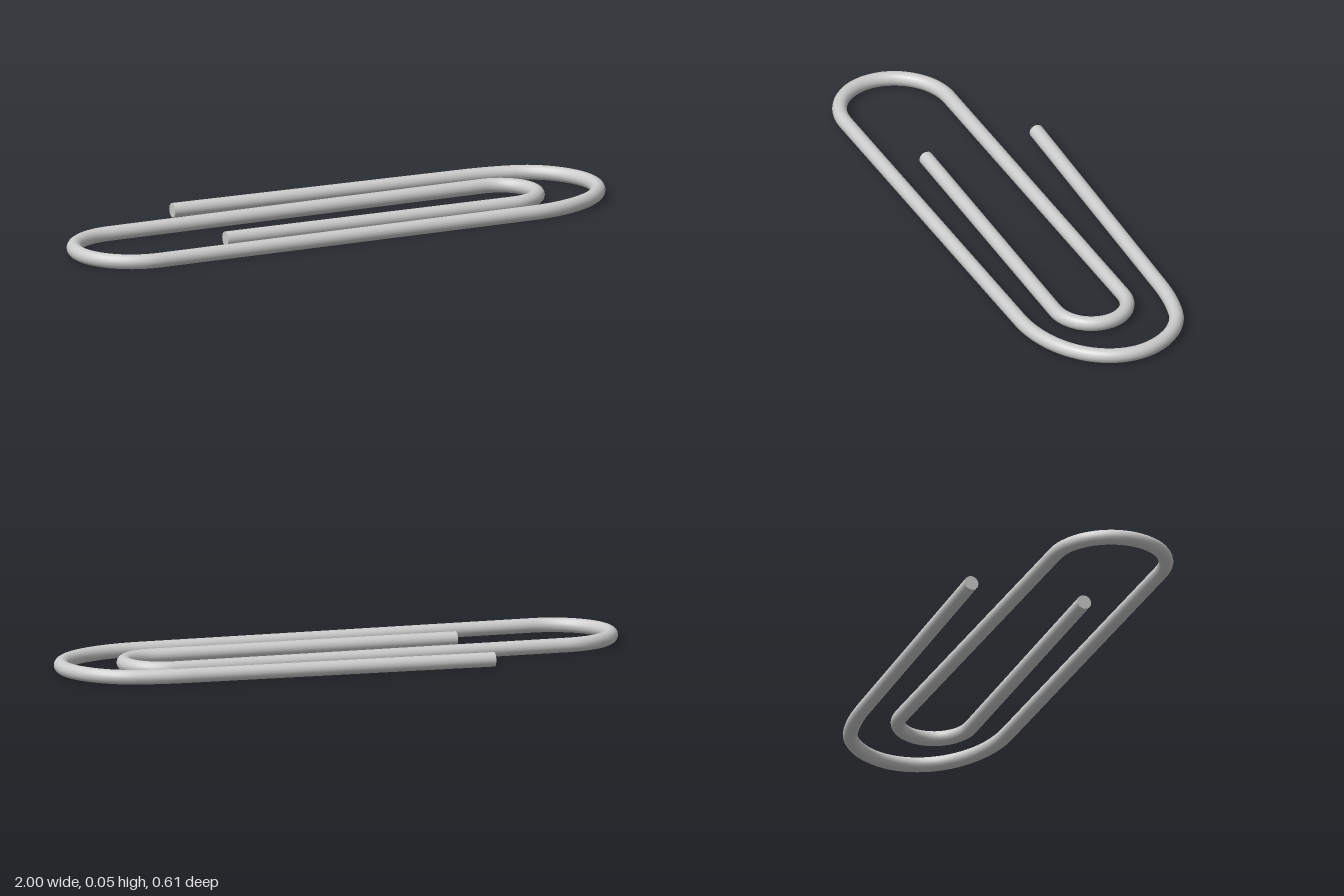
import * as THREE from 'three';

const R = 0.025; // wire radius

export function createModel() {
  const group = new THREE.Group();
  group.name = 'paperClip';
  const material = new THREE.MeshStandardMaterial({ color: 0xcccccc });

  // Wire centreline, drawn in the ground plane as (x, z)
  const p = (x, z) => new THREE.Vector3(x, R, z);
  const path = new THREE.CurvePath();
  let pen = p(-0.45, -0.28);
  const line = (x, z) => {
    const end = p(x, z);
    path.add(new THREE.LineCurve3(pen, end));
    pen = end;
  };
  const bend = (ax, az, bx, bz, x, z) => {
    const end = p(x, z);
    path.add(new THREE.CubicBezierCurve3(pen, p(ax, az), p(bx, bz), end));
    pen = end;
  };
  // Half-ellipse turn whose tip lies at tipX, ending straight across at z
  const turn = (tipX, z) => {
    const { x, z: z0 } = pen, k = 0.5523;
    const mid = (z0 + z) / 2, h = (z - z0) / 2, w = tipX - x;
    bend(x + w * k, z0, tipX, mid - h * k, tipX, mid);
    bend(tipX, mid + h * k, x + w * k, z, x, z);
  };

  // Outer free arm and wide right bend
  line(0.62, -0.243);
  bend(0.69, -0.24, 0.74, -0.232, 0.80, -0.216);
  bend(0.905, -0.185, 0.975, -0.08, 0.975, 0.01);
  bend(0.975, 0.16, 0.82, 0.278, 0.62, 0.278);
  // Long front arm, left bend, middle arm
  line(-0.77, 0.278);
  turn(-0.975, -0.105);
  line(0.62, -0.105);
  // Small inner bend and inner free arm
  turn(0.755, 0.145);
  line(-0.45, 0.128);

  const wire = new THREE.Mesh(new THREE.TubeGeometry(path, 300, R, 16, false), material);
  wire.name = 'wire';
  group.add(wire);

  // Flat cut ends
  for (const [name, t, sign] of [['outerEnd', 0, -1], ['innerEnd', 1, 1]]) {
    const cap = new THREE.Mesh(new THREE.CircleGeometry(R, 16), material);
    cap.name = name;
    cap.position.copy(path.getPointAt(t));
    const out = path.getTangentAt(t).multiplyScalar(sign);
    cap.quaternion.setFromUnitVectors(new THREE.Vector3(0, 0, 1), out);
    group.add(cap);
  }
  return group;
}
